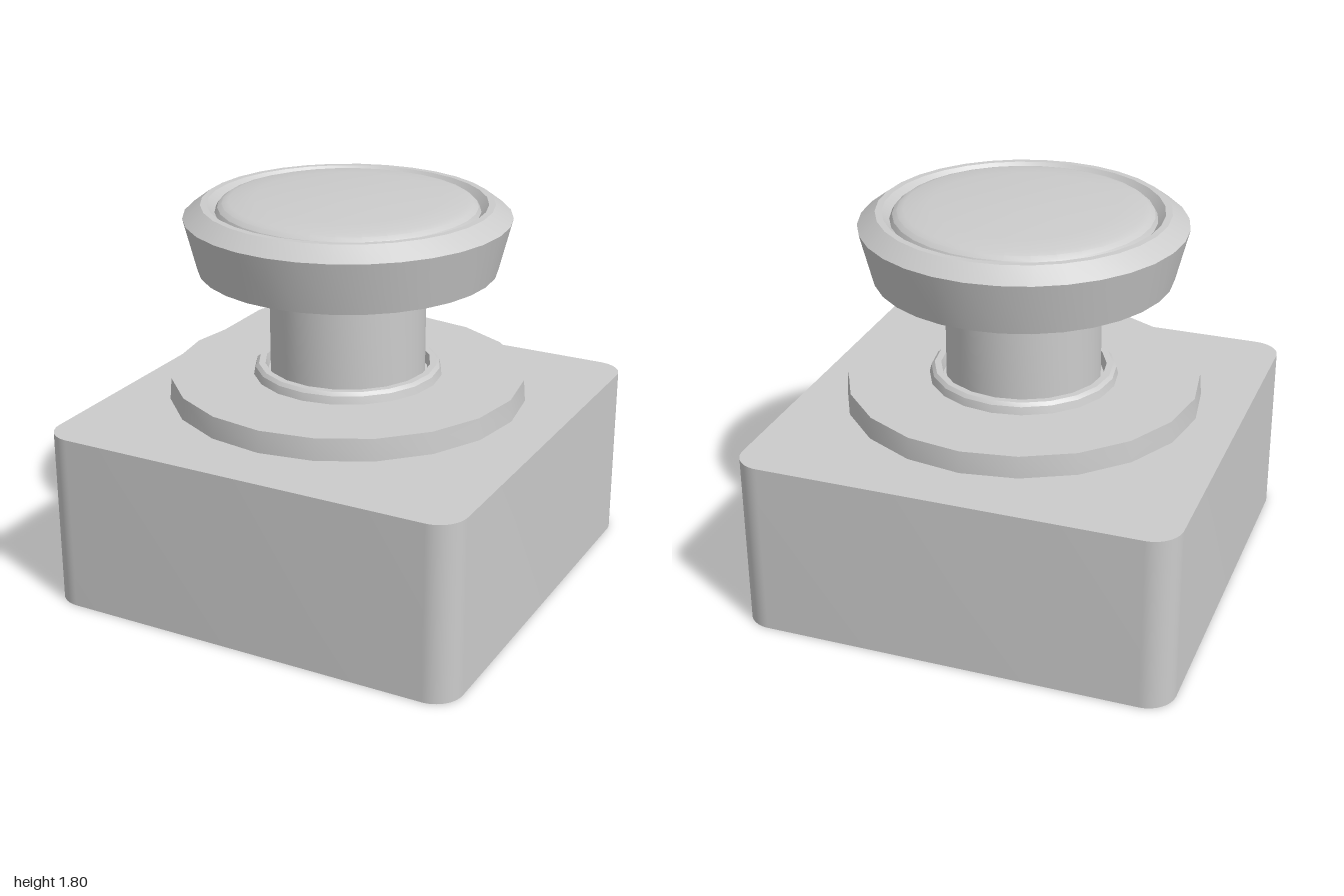
import * as THREE from 'three';
import { toCreasedNormals } from 'three/addons/utils/BufferGeometryUtils.js';

const material = new THREE.MeshStandardMaterial({ color: 0xcccccc });

function addMesh(group, name, geometry) {
  const mesh = new THREE.Mesh(toCreasedNormals(geometry, 0.36), material);
  mesh.name = name;
  group.add(mesh);
  return mesh;
}

// Turned part from [radius, height] pairs, listed from the underside up and over the top
function turned(group, name, profile, segments) {
  const points = profile.map(([r, y]) => new THREE.Vector2(r, y));
  return addMesh(group, name, new THREE.LatheGeometry(points, segments));
}

// Square block with rounded vertical edges, standing on y = 0
function baseGeometry(half, radius, height) {
  const c = half - radius;
  const shape = new THREE.Shape();
  shape.absarc(c, c, radius, 0, Math.PI / 2);
  shape.absarc(-c, c, radius, Math.PI / 2, Math.PI);
  shape.absarc(-c, -c, radius, Math.PI, Math.PI * 1.5);
  shape.absarc(c, -c, radius, Math.PI * 1.5, Math.PI * 2);
  const geometry = new THREE.ExtrudeGeometry(shape, { depth: height, bevelEnabled: false, curveSegments: 8 });
  return geometry.rotateX(-Math.PI / 2);
}

export function createModel() {
  const group = new THREE.Group();

  addMesh(group, 'base', baseGeometry(1, 0.13, 0.82));

  // Tapered pivot between base and flange
  turned(group, 'pivot', [[0, 0.81], [0.07, 0.81], [0.17, 0.872], [0, 0.872]], 20);

  // Wide disc floating just above the base
  turned(group, 'flange', [[0, 0.87], [0.818, 0.87], [0.81, 0.97], [0, 0.97]], 20);

  // Raised lip with a narrow groove around the stem
  turned(group, 'collar', [
    [0.435, 0.965], [0.425, 1.005], [0.41, 1.02], [0.38, 1.02], [0.37, 0.97],
  ], 20);

  turned(group, 'stem', [[0.355, 0.96], [0.355, 1.44]], 32);

  // Flared head with a bevelled rim and an inward-sloping lip
  turned(group, 'head', [
    [0, 1.43], [0.54, 1.43], [0.675, 1.472], [0.735, 1.71],
    [0.655, 1.77], [0.625, 1.77], [0.592, 1.735],
  ], 32);

  // Shallow domed cap inside the rim
  const dome = [[0.592, 1.735], [0.58, 1.757], [0.56, 1.772], [0.53, 1.781],
    [0.42, 1.79], [0.28, 1.798], [0.14, 1.803], [0, 1.805]];
  turned(group, 'cap', dome, 32);

  return group;
}
